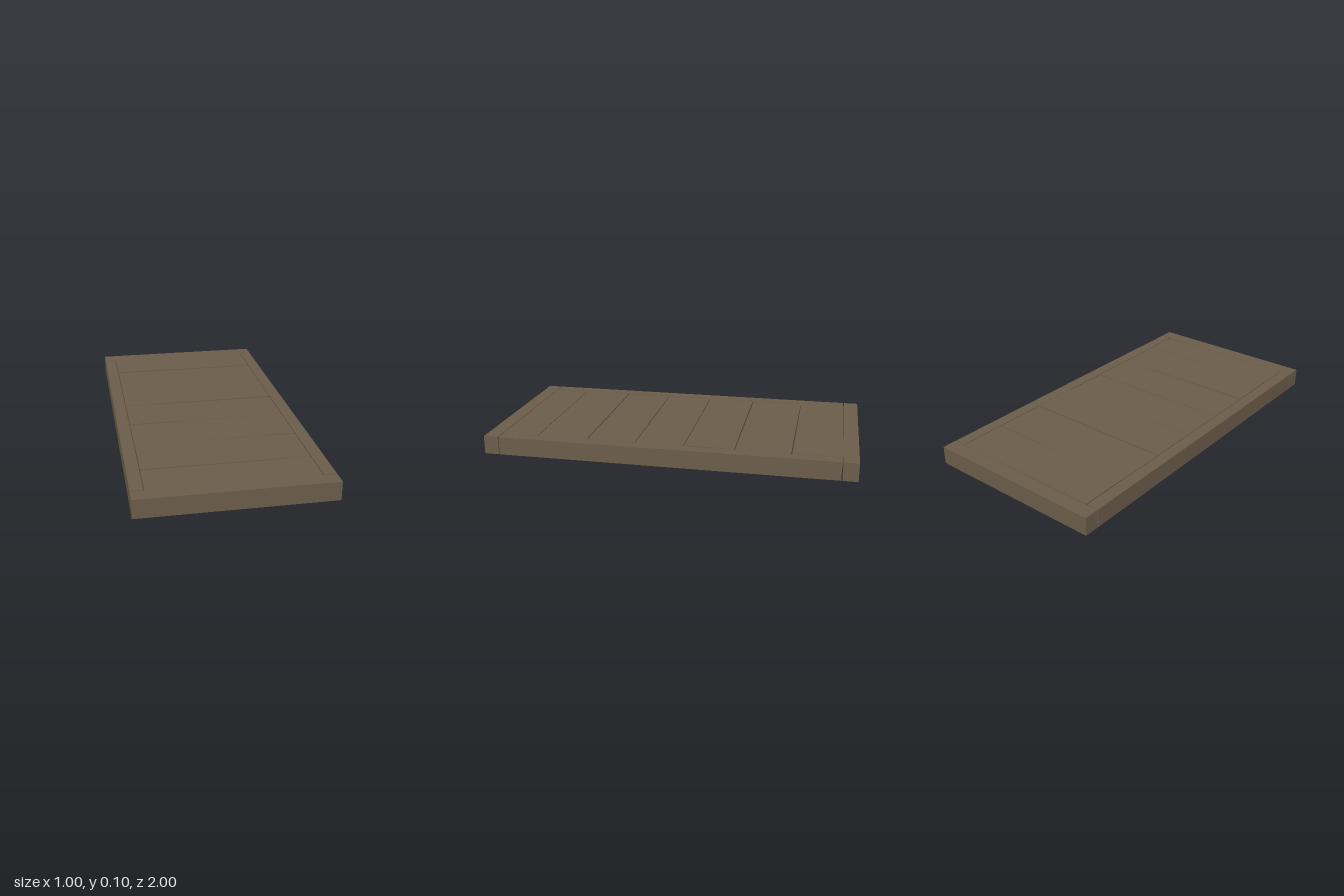
import * as THREE from 'three';

export function createModel() {
  const model = new THREE.Group();
  const wood = new THREE.MeshStandardMaterial({ color: 0x6a5c49 });
  wood.name = 'weathered brown wood';

  function board(name, w, h, d, x, y, z) {
    const mesh = new THREE.Mesh(new THREE.BoxGeometry(w, h, d), wood);
    mesh.name = name;
    mesh.position.set(x, y, z);
    model.add(mesh);
    return mesh;
  }

  // Outer frame: full-width end rails with the side rails set between them
  const height = 0.1, gap = 0.005;
  const endZ = 0.92, sideX = 0.435;
  for (const s of [1, -1]) {
    board(s > 0 ? 'frontRail' : 'backRail', 1, height, 1 - endZ, 0, height / 2, s * (1 + endZ) / 2);
    board(s > 0 ? 'leftRail' : 'rightRail', 0.5 - sideX, height, 2 * (endZ - gap),
      s * (0.5 + sideX) / 2, height / 2, 0);
  }

  // Cross planks, flush with the frame on top and open below, each slightly uneven
  const joints = [-0.92, -0.66, -0.365, -0.095, 0.17, 0.435, 0.716, 0.92];
  const roll = [-0.002, 0.001, 0.003, -0.001, 0.002, -0.002, 0.001];
  const yaw = [0.001, -0.002, 0.001, -0.001, 0.001, -0.001, 0.001];
  const lift = [0.001, -0.001, 0.001, -0.001, -0.001, 0, -0.001];
  const thick = 0.052;
  for (let i = 0; i < joints.length - 1; i++) {
    const a = joints[i], b = joints[i + 1];
    const plank = board('plank' + (i + 1), 2 * sideX - 2 * gap, thick, b - a - gap,
      0, height - thick / 2 + lift[i], (a + b) / 2);
    plank.rotation.set(0, yaw[i], roll[i]);
  }
  return model;
}
